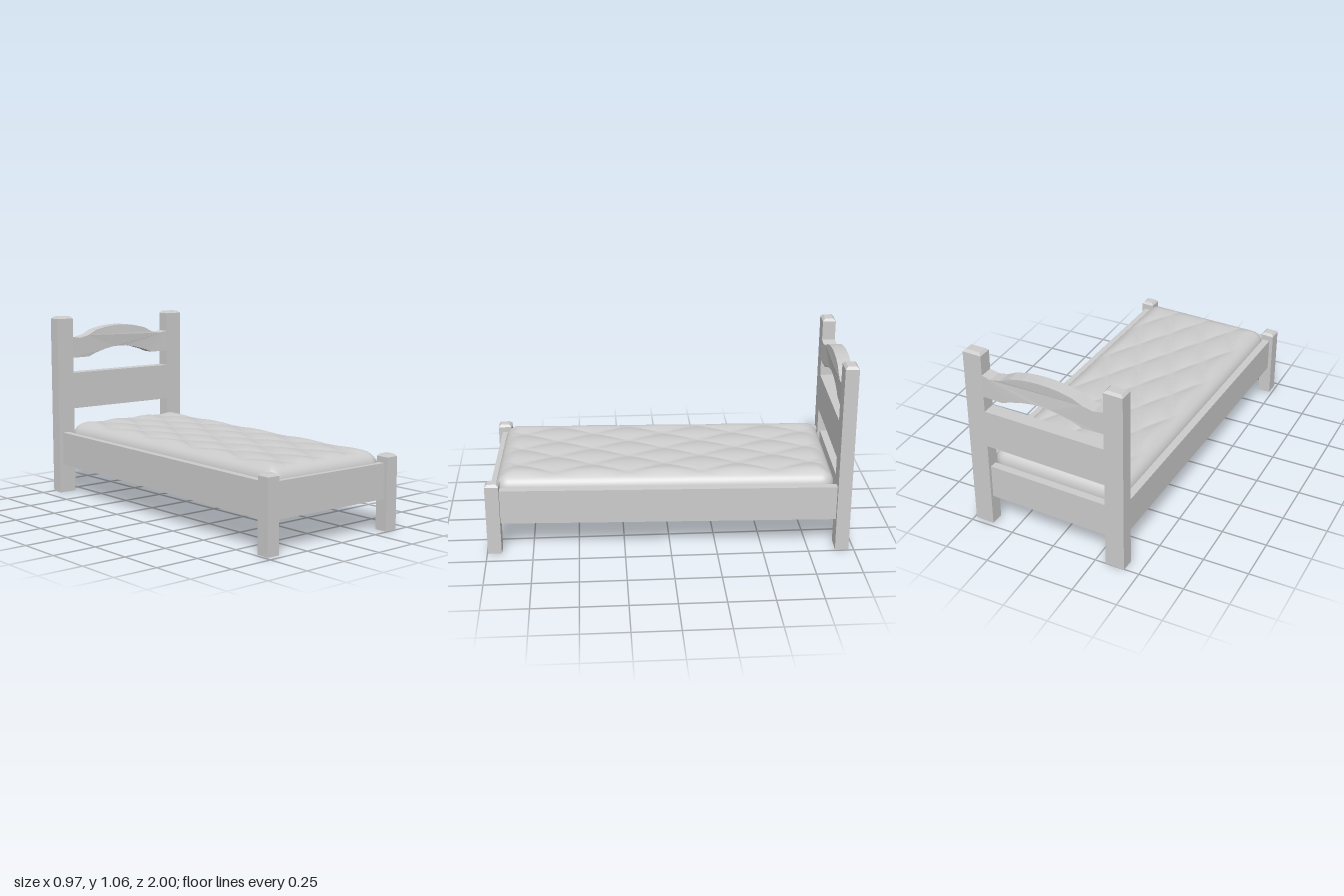
import * as THREE from 'three';
import { mergeVertices } from 'three/addons/utils/BufferGeometryUtils.js';

const wood = new THREE.MeshStandardMaterial({ color: 0xcccccc, flatShading: true });
const fabric = new THREE.MeshStandardMaterial({ color: 0xcccccc });

function add(parent, name, geometry, material = wood) {
  const mesh = new THREE.Mesh(geometry, material);
  mesh.name = name;
  parent.add(mesh);
  return mesh;
}

// Board given by its limits on each axis
function board(parent, name, [x0, x1], [y0, y1], [z0, z1]) {
  const mesh = add(parent, name, new THREE.BoxGeometry(x1 - x0, y1 - y0, z1 - z0));
  mesh.position.set((x0 + x1) / 2, (y0 + y1) / 2, (z0 + z1) / 2);
}

// Square post standing on the floor with a chamfered top
function post(parent, name, x, z, w, h, d, chamfer = 0.013) {
  const geometry = new THREE.BoxGeometry(w, h, d, 1, 2, 1);
  const p = geometry.attributes.position;
  for (let i = 0; i < p.count; i++) {
    const y = p.getY(i);
    if (y > 0.001) {
      p.setX(i, p.getX(i) - Math.sign(p.getX(i)) * chamfer);
      p.setZ(i, p.getZ(i) - Math.sign(p.getZ(i)) * chamfer);
    } else if (y > -0.001) p.setY(i, h / 2 - chamfer);
  }
  geometry.computeVertexNormals();
  add(parent, name, geometry).position.set(x, h / 2, z);
}

// Arched top rail of the headboard, bowed slightly backwards in plan
function archedRail() {
  const top = [[0.35, 0.937], [0.295, 0.927], [0.235, 0.94], [0.18, 0.968], [0.105, 0.985], [0.05, 0.991]];
  const bottom = [[0.05, 0.862], [0.115, 0.85], [0.185, 0.83], [0.232, 0.811], [0.35, 0.811]];
  const flip = (points) => points.map(([x, y]) => [-x, y]).reverse();
  const outline = [...top, [0, 0.993], ...flip(top), ...flip(bottom), [0, 0.864], ...bottom];
  const shape = new THREE.Shape(outline.map(([x, y]) => new THREE.Vector2(x, y)));
  const geometry = new THREE.ExtrudeGeometry(shape, { depth: 0.074, bevelEnabled: false });
  geometry.translate(0, 0, -0.989);
  const p = geometry.attributes.position;
  for (let i = 0; i < p.count; i++) {
    p.setZ(i, p.getZ(i) - 0.009 * Math.max(0, 1 - (p.getX(i) / 0.35) ** 2));
  }
  geometry.computeVertexNormals();
  return geometry;
}

// Rounded block with diamond quilting pressed into its top
function mattressGeometry(w, h, l, r) {
  let geometry = new THREE.BoxGeometry(w, h, l, 60, 14, 120);
  geometry.deleteAttribute('uv');
  geometry.deleteAttribute('normal');
  geometry = mergeVertices(geometry);
  const p = geometry.attributes.position;
  const v = new THREE.Vector3();
  const core = new THREE.Vector3();
  const limit = new THREE.Vector3(w / 2 - r, h / 2 - r, l / 2 - r);
  for (let i = 0; i < p.count; i++) {
    v.fromBufferAttribute(p, i);
    const onTop = v.y > h / 2 - 0.001;
    core.copy(v).clamp(limit.clone().negate(), limit);
    v.sub(core).setLength(r).add(core);
    if (onTop) {
      const edge = Math.min(w / 2 - Math.abs(v.x), l / 2 - Math.abs(v.z));
      const fade = THREE.MathUtils.smoothstep(edge, 0.03, 0.1);
      const a = v.x / 0.21 + v.z / 0.4;
      const b = v.x / 0.21 - v.z / 0.4;
      const puff = Math.sqrt(Math.abs(Math.sin(Math.PI * a) * Math.sin(Math.PI * b)));
      v.y += fade * (0.016 * puff - 0.002);
    }
    p.setXYZ(i, v.x, v.y, v.z);
  }
  geometry.computeVertexNormals();
  return geometry;
}

export function createModel() {
  const model = new THREE.Group();
  model.name = 'bed';
  // The bed stands slightly turned
  const frame = new THREE.Group();
  frame.name = 'bedFrame';
  frame.rotation.y = -0.036;
  model.add(frame);

  // Posts and side rails, mirrored
  for (const [side, s] of [['left', 1], ['right', -1]]) {
    post(frame, `${side}HeadPost`, s * 0.4, -0.952, 0.107, 1.06, 0.074);
    post(frame, `${side}FootPost`, s * 0.413, 0.943, 0.074, 0.41, 0.075);
    const x = s * 0.408;
    board(frame, `${side}SideRail`, [x - 0.021, x + 0.021], [0.172, 0.365], [-0.92, 0.92]);
  }

  // Headboard and footboard
  add(frame, 'headboardArchedRail', archedRail());
  board(frame, 'headboardSlat', [-0.35, 0.35], [0.505, 0.72], [-0.989, -0.915]);
  board(frame, 'headboardLowerRail', [-0.36, 0.36], [0.172, 0.365], [-0.972, -0.93]);
  board(frame, 'footboardRail', [-0.39, 0.39], [0.172, 0.365], [0.918, 0.958]);

  // Mattress
  const mattress = add(frame, 'mattress', mattressGeometry(0.776, 0.196, 1.84, 0.07), fabric);
  mattress.position.set(0, 0.322, 0.012);
  return model;
}
